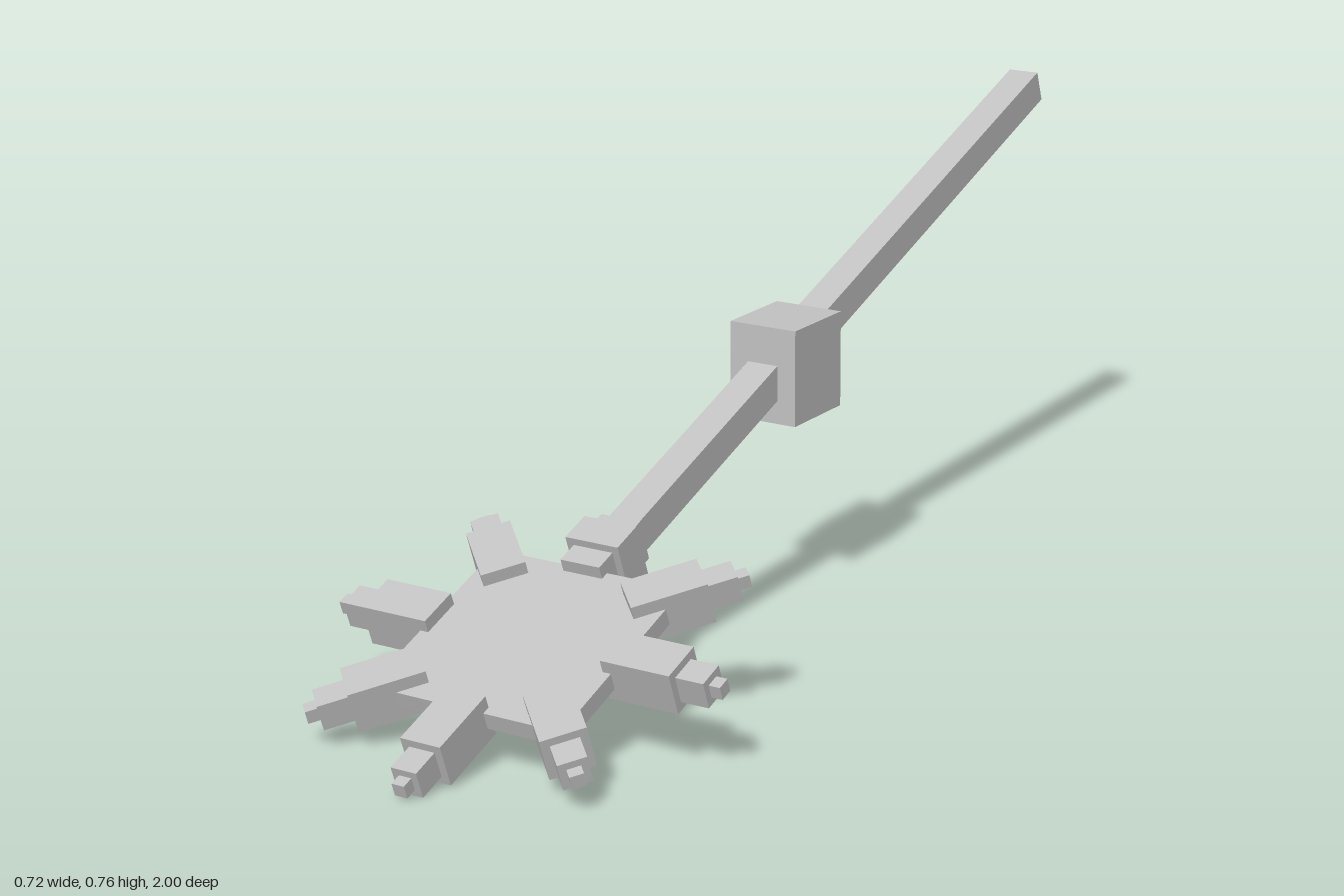
import * as THREE from 'three';

export function createModel() {
  const model = new THREE.Group();
  const grey = new THREE.MeshStandardMaterial({ color: 0xc0c0c0 });
  grey.name = 'plain grey';

  function box(parent, name, size, position) {
    const mesh = new THREE.Mesh(new THREE.BoxGeometry(...size), grey);
    mesh.name = name;
    mesh.position.set(...position);
    parent.add(mesh);
    return mesh;
  }

  // Tilted assembly: origin at the middle of the head, shaft running along -z
  const tilted = new THREE.Group();
  tilted.name = 'tiltedBody';
  tilted.position.set(0, 0.138, 0.656);
  tilted.rotation.x = THREE.MathUtils.degToRad(20);
  model.add(tilted);

  // Flat square head plate with a thin panel on its underside
  box(tilted, 'headPlate', [0.36, 0.03, 0.36], [0, 0, 0]);
  box(tilted, 'undersidePanel', [0.24, 0.005, 0.24], [0, -0.016, 0]);

  // Eight stepped spikes: [inner radius, outer radius, thickness]
  const steps = [
    ['spikeBase', 0.165, 0.29, 0.074],
    ['spikeMiddle', 0.29, 0.34, 0.047],
    ['spikeTip', 0.34, 0.36, 0.023],
  ];
  for (let i = 0; i < 8; i++) {
    const spike = new THREE.Group();
    spike.name = 'spike' + (i + 1);
    spike.rotation.y = (i * Math.PI) / 4;
    for (const [name, r0, r1, t] of steps) {
      box(spike, name, [t, t, r1 - r0], [0, 0, (r0 + r1) / 2]);
    }
    tilted.add(spike);
  }

  // Collar and long square shaft
  box(tilted, 'collar', [0.1, 0.1, 0.058], [0, 0, -0.234]);
  box(tilted, 'shaft', [0.058, 0.058, 1.502], [0, 0, -1.001]);

  // Upright block around the middle of the shaft
  box(model, 'gripBlock', [0.128, 0.168, 0.152], [0, 0.404, -0.116]);

  return model;
}
